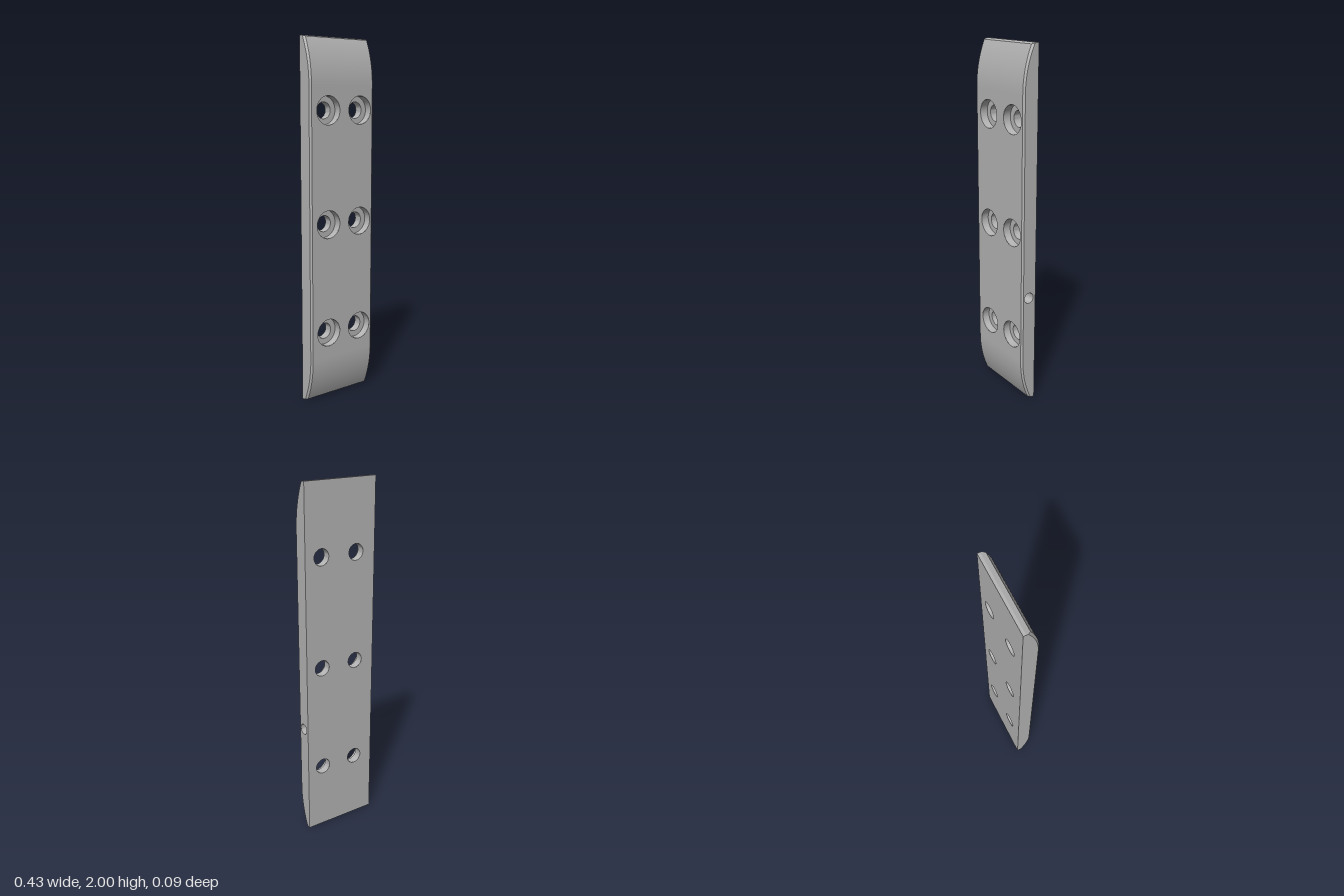
import * as THREE from 'three';
import { toCreasedNormals } from 'three/addons/utils/BufferGeometryUtils.js';

const W = 0.217, INNER = 0.207;            // half widths: side face, front face
const BACK = -0.047, FRONT = 0.043, SIDE_FRONT = 0.034;
const ARC_Y = 1.75;                        // where the flat front starts to curve
const STEPS = 14;

// Lengthwise [y, z] profile, bottom to top, with an arc tangent to the flat front
function profile(zFlat, yEnd, zEnd) {
  const len = yEnd - ARC_Y, drop = zFlat - zEnd;
  const r = (len * len + drop * drop) / (2 * drop);
  const sweep = Math.asin(len / r);
  const top = [];
  for (let i = 0; i <= STEPS; i++) {
    const a = sweep * i / STEPS;
    top.push([ARC_Y + r * Math.sin(a), zFlat - r + r * Math.cos(a)]);
  }
  top.push([2, -0.032], [2, BACK]);
  const bottom = top.map(([y, z]) => [2 - y, z]).reverse();
  return [...bottom, ...top];
}

// Strip of quads between two columns of points, skipping the flat segment if asked
function strip(left, right, skip = -1) {
  const pos = [];
  for (let i = 0; i < left.length - 1; i++) {
    if (i === skip) continue;
    const [a, b, c, d] = [left[i], right[i], right[i + 1], left[i + 1]];
    pos.push(...a, ...b, ...c, ...a, ...c, ...d);
  }
  const g = new THREE.BufferGeometry();
  g.setAttribute('position', new THREE.Float32BufferAttribute(pos, 3));
  return toCreasedNormals(g, 0.25);
}

function circle(x, y, r) {
  return new THREE.Path().absarc(x, y, r, 0, Math.PI * 2, true);
}

function rect(hw, y0, y1) {
  return new THREE.Shape([[-hw, y0], [hw, y0], [hw, y1], [-hw, y1]]
    .map(([x, y]) => new THREE.Vector2(x, y)));
}

function bore(points) {
  const pts = points.map(([r, h]) => new THREE.Vector2(r, h));
  return toCreasedNormals(new THREE.LatheGeometry(pts, 40), 0.4);
}

export function createModel() {
  const model = new THREE.Group();
  model.name = 'drilledPlate';
  const metal = new THREE.MeshStandardMaterial({ color: 0xb4b4b4, side: THREE.DoubleSide });
  metal.name = 'grey metal';
  const add = (name, geometry) => {
    const mesh = new THREE.Mesh(geometry, metal);
    mesh.name = name;
    model.add(mesh);
    return mesh;
  };

  const face = profile(FRONT, 1.993, -0.008);
  const edge = profile(SIDE_FRONT, 1.997, -0.022);
  const column = (pts, x) => pts.map(([y, z]) => [x, y, z]);
  const flat = STEPS + 2;

  // Curved ends and bevels along both long edges
  add('curvedEnds', strip(column(face, -INNER), column(face, INNER), flat));
  add('leftBevel', strip(column(face, INNER), column(edge, W)));
  add('rightBevel', strip(column(edge, -W), column(face, -INNER)));

  // Flat front and back with two columns of three screw holes
  const front = rect(INNER, 2 - ARC_Y, ARC_Y);
  const back = rect(W, 0, 2);
  for (const x of [-0.097, 0.119]) {
    for (const y of [0.388, 1.0, 1.614]) {
      front.holes.push(circle(x, y, 0.077));
      back.holes.push(circle(-x, y, 0.045));
      const hole = bore([[0.077, FRONT], [0.077, -0.001], [0.045, -0.001], [0.045, BACK]]);
      add('counterboredHole', hole.rotateX(Math.PI / 2)).position.set(x, y, 0);
    }
  }
  add('frontFace', new THREE.ShapeGeometry(front, 40)).position.z = FRONT;
  add('backFace', new THREE.ShapeGeometry(back, 40).rotateY(Math.PI)).position.z = BACK;

  // Side faces, the left one with a blind drilled hole
  for (const s of [1, -1]) {
    const side = new THREE.Shape(edge.map(([y, z]) => new THREE.Vector2(-s * z, y)));
    if (s > 0) side.holes.push(circle(0.003, 0.637, 0.03));
    const g = new THREE.ShapeGeometry(side, 32).rotateY(s * Math.PI / 2);
    add(s > 0 ? 'leftSide' : 'rightSide', g).position.x = s * W;
  }
  const blind = bore([[0.03, 0], [0.03, -0.1], [0, -0.118]]);
  add('sideHole', blind.rotateZ(-Math.PI / 2)).position.set(W, 0.637, -0.003);

  return model;
}
